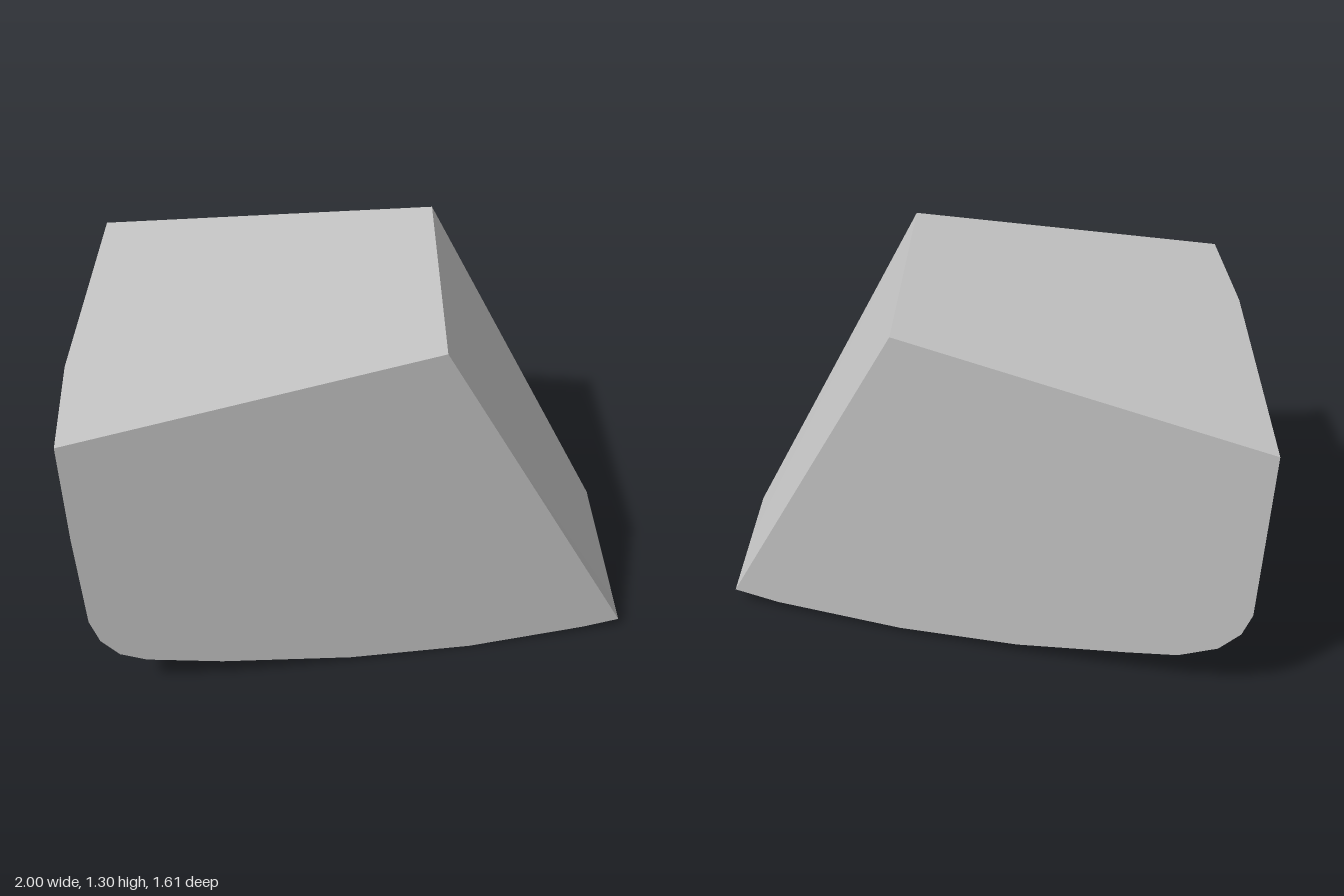
import * as THREE from 'three';
import { toCreasedNormals } from 'three/addons/utils/BufferGeometryUtils.js';

// Matching outlines, counter-clockwise from the upper left corner.
// Front end: [x, y]; back end: [z, y]; bulge: how far the left wall swells outward.
const FRONT = [
  [-1, 1.105], [-0.99, 0.73], [-0.97, 0.36], [-0.94, 0.265], [-0.88, 0.19], [-0.79, 0.147],
  [-0.53, 0.09], [-0.07, 0.025], [0.37, 0.003], [0.8, 0.024], [0.935, 0.04], [0.235, 1.305],
];
const BACK = [
  [-0.805, 1.015], [-0.79, 0.7], [-0.775, 0.37], [-0.76, 0.28], [-0.73, 0.2], [-0.677, 0.138],
  [-0.608, 0.108], [-0.455, 0.05], [-0.285, 0.025], [-0.1, 0.04], [-0.035, 0.063], [-0.325, 1.26],
];
const BULGE = [0.03, 0.03, 0.03, 0.03, 0.025, 0.018, 0.01, 0, 0, 0, 0, 0];

// Both ends are flat, slanted cuts
const frontPoint = ([x, y]) => new THREE.Vector3(x, y, 0.738 - 0.062 * x + 0.009 * y);
const backPoint = ([z, y]) => new THREE.Vector3(1.083 + 2.531 * z + 0.083 * y, y, z);

function createBlockGeometry() {
  const front = FRONT.map(frontPoint);
  const back = BACK.map(backPoint);
  const middle = front.map((p, i) => {
    const m = p.clone().lerp(back[i], 0.31);
    m.x -= BULGE[i];
    m.y -= BULGE[i] * 0.17;
    return m;
  });

  const positions = [];
  const triangle = (...points) => points.forEach((p) => positions.push(p.x, p.y, p.z));
  const n = front.length;

  // Walls, top and underside
  for (const [a, b] of [[front, middle], [middle, back]]) {
    for (let i = 0; i < n; i++) {
      const j = (i + 1) % n;
      triangle(a[i], b[i], a[j]);
      triangle(a[j], b[i], b[j]);
    }
  }
  // End faces
  for (let i = 1; i < n - 1; i++) {
    triangle(front[0], front[i], front[i + 1]);
    triangle(back[0], back[i + 1], back[i]);
  }

  const geometry = new THREE.BufferGeometry();
  geometry.setAttribute('position', new THREE.Float32BufferAttribute(positions, 3));
  return toCreasedNormals(geometry, 0.55);
}

export function createModel() {
  const group = new THREE.Group();
  group.name = 'cutBlock';
  const stone = new THREE.MeshStandardMaterial({ color: 0xc4c4c4 });
  stone.name = 'light grey';
  const block = new THREE.Mesh(createBlockGeometry(), stone);
  block.name = 'block';
  group.add(block);
  return group;
}
